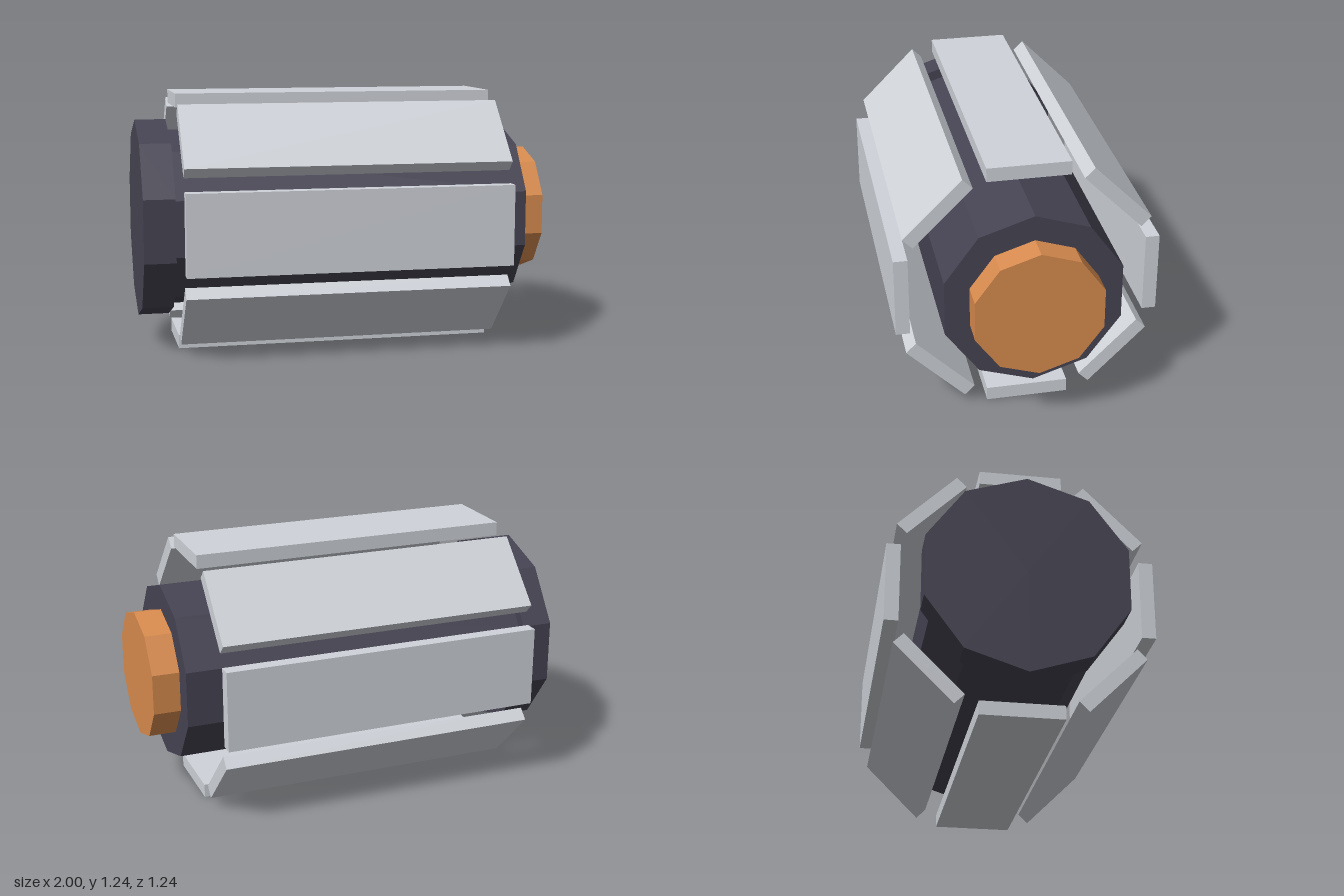
import * as THREE from 'three';

const CENTER_Y = 0.62;

function material(name, color) {
  const m = new THREE.MeshStandardMaterial({ color, flatShading: true });
  m.name = name;
  return m;
}

// Ten-sided drum lying along x, with a corner pointing straight up
function drum(name, radius, x0, x1, mat) {
  const geo = new THREE.CylinderGeometry(radius, radius, x1 - x0, 10, 1, false, Math.PI / 2);
  geo.rotateZ(-Math.PI / 2);
  const mesh = new THREE.Mesh(geo, mat);
  mesh.name = name;
  mesh.position.set((x0 + x1) / 2, CENTER_Y, 0);
  return mesh;
}

export function createModel() {
  const model = new THREE.Group();
  model.name = 'canister';

  const dark = material('dark slate', 0x464453);
  const copper = material('copper', 0xd98c4f);
  const panel = material('light grey', 0xd0d4da);

  // Core, wider end cap and copper nozzle
  model.add(
    drum('endCap', 0.485, -1, -0.85, dark),
    drum('core', 0.433, -0.85, 0.87, dark),
    drum('nozzle', 0.312, 0.87, 1, copper)
  );

  // Eight flat panels floating around the core
  const panels = new THREE.Group();
  panels.name = 'panels';
  panels.position.set(-0.04, CENTER_Y, 0);
  const plate = new THREE.BoxGeometry(1.56, 0.066, 0.388);
  plate.translate(0, 0.587, 0);
  for (let i = 0; i < 8; i++) {
    const mesh = new THREE.Mesh(plate, panel);
    mesh.name = `panel${i + 1}`;
    mesh.rotation.x = (i * Math.PI) / 4;
    panels.add(mesh);
  }
  model.add(panels);

  return model;
}
